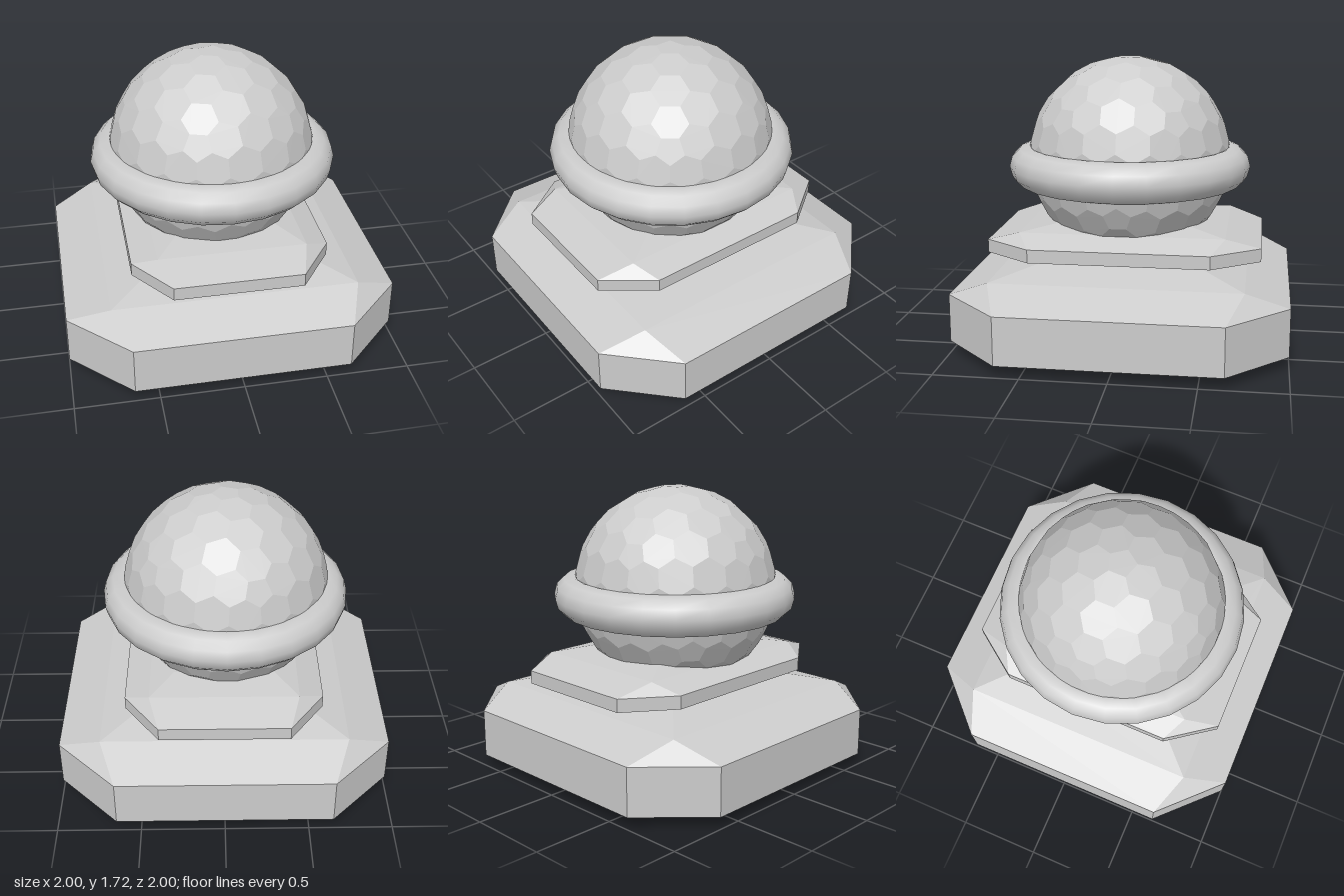
import * as THREE from 'three';
import { ConvexGeometry } from 'three/addons/geometries/ConvexGeometry.js';

const grey = new THREE.MeshStandardMaterial({ color: 0xcccccc });
const greyFlat = new THREE.MeshStandardMaterial({ color: 0xcccccc, flatShading: true });

function add(group, name, geometry, material) {
  const mesh = new THREE.Mesh(geometry, material);
  mesh.name = name;
  group.add(mesh);
  return mesh;
}

// Slab from levels [x, z, y] (square corners) or [x, z, y, cutX, cutZ] (cut corners)
function slabGeometry(levels) {
  const points = [];
  for (const [x, z, y, cutX, cutZ] of levels) {
    for (const sx of [-1, 1]) for (const sz of [-1, 1]) {
      if (cutX === undefined) points.push(new THREE.Vector3(sx * x, y, sz * z));
      else points.push(
        new THREE.Vector3(sx * cutX, y, sz * z),
        new THREE.Vector3(sx * x, y, sz * cutZ)
      );
    }
  }
  return new ConvexGeometry(points);
}

// Ball of hexagons and pentagons: the dual of a subdivided icosahedron
function facetedBallGeometry(radius) {
  const ico = new THREE.IcosahedronGeometry(1, 3);
  ico.rotateZ(Math.atan(2 / (1 + Math.sqrt(5)))); // a corner at the pole
  const pos = ico.attributes.position;
  const points = [];
  const corner = new THREE.Vector3();
  for (let i = 0; i < pos.count; i += 3) {
    const centre = new THREE.Vector3();
    for (let k = 0; k < 3; k++) centre.add(corner.fromBufferAttribute(pos, i + k));
    points.push(centre.setLength(radius));
  }
  return new ConvexGeometry(points);
}

export function createModel() {
  const model = new THREE.Group();
  model.name = 'ballOnPedestal';

  // Wide base with cut corners and a sloping top
  add(model, 'base', slabGeometry([
    [0.65, 0.65, 0],
    [1, 1, 0.07, 0.645, 0.645],
    [1, 1, 0.36, 0.645, 0.645],
    [0.74, 0.74, 0.47],
    [0.49, 0.49, 0.525]
  ]), greyFlat);

  // Thinner plate, longer from front to back
  add(model, 'plate', slabGeometry([
    [0.385, 0.535, 0.515],
    [0.595, 0.825, 0.555, 0.385, 0.535],
    [0.595, 0.825, 0.635, 0.385, 0.535],
    [0.445, 0.615, 0.7],
    [0.3, 0.41, 0.73]
  ]), greyFlat);

  // Ball
  add(model, 'ball', facetedBallGeometry(0.628), greyFlat).position.set(-0.02, 1.095, 0.01);

  // Ring around the ball
  const ring = new THREE.TorusGeometry(0.627, 0.123, 12, 24).rotateX(Math.PI / 2);
  add(model, 'ring', ring, grey).position.set(-0.015, 1.05, 0.008);

  return model;
}
